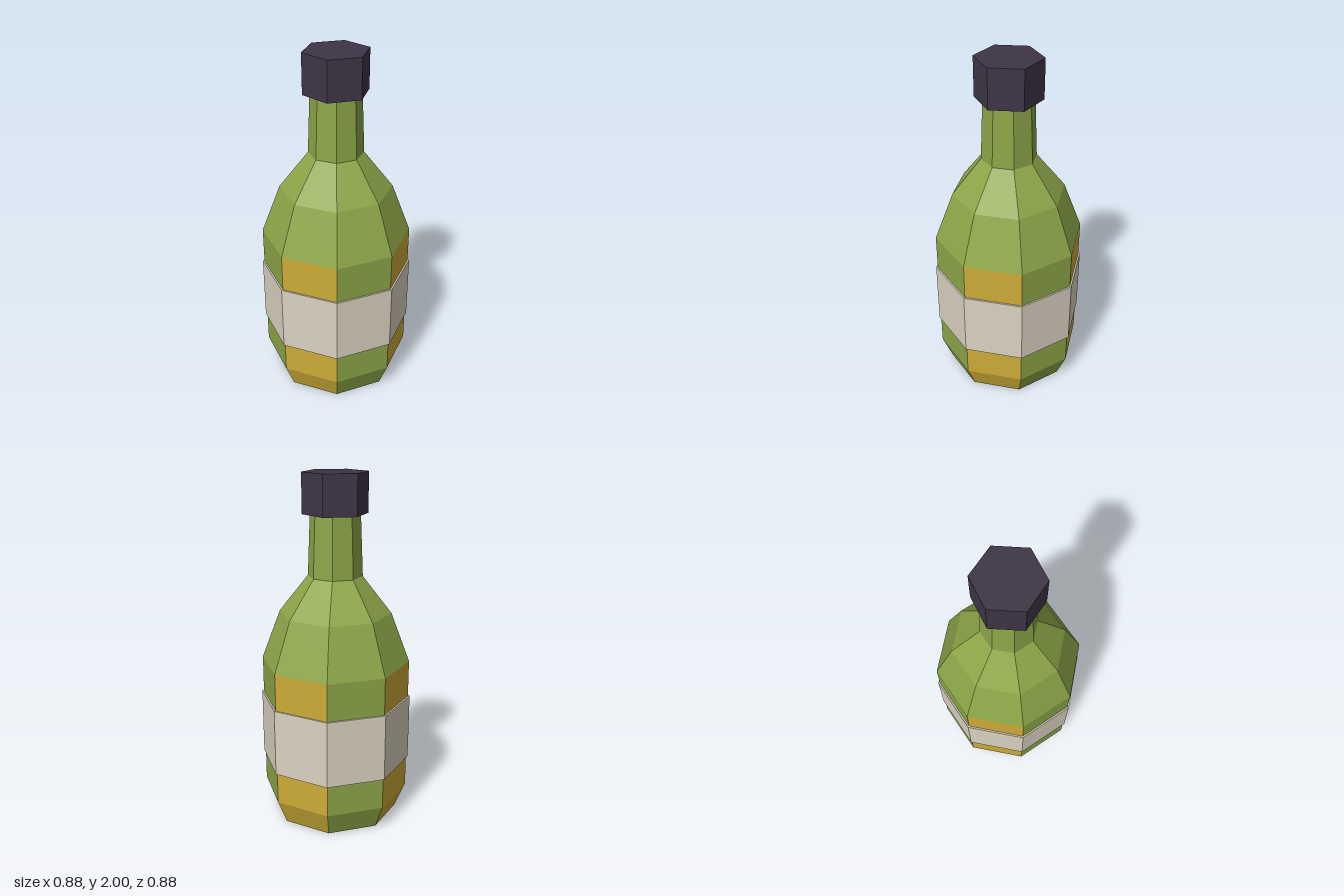
import * as THREE from 'three';

const SIDES = 8;
const STEP = (Math.PI * 2) / SIDES;

function material(name, color) {
  const m = new THREE.MeshStandardMaterial({ color, flatShading: true });
  m.name = name;
  return m;
}

const profile = (points) => points.map(([r, y]) => new THREE.Vector2(r, y));

export function createModel() {
  const model = new THREE.Group();
  model.name = 'bottle';

  const green = material('greenGlass', 0x8da648);
  const gold = material('goldPanel', 0xcdac38);
  const cream = material('creamLabel', 0xdbd3c1);
  const dark = material('darkCap', 0x3e3546);

  function add(name, geometry, mat, y = 0) {
    const mesh = new THREE.Mesh(geometry, mat);
    mesh.name = name;
    mesh.position.y = y;
    model.add(mesh);
    return mesh;
  }

  // Lower body: alternating gold and green panels
  const lower = profile([[0.37, 0], [0.428, 0.145], [0.428, 0.935]]);
  for (let i = 0; i < SIDES; i++) {
    add(`bodyPanel${i + 1}`, new THREE.LatheGeometry(lower, 1, i * STEP, STEP), i % 2 ? green : gold);
  }

  // Base, facing down with its corners on the panel edges
  const base = add('base', new THREE.CircleGeometry(0.37, SIDES), green);
  base.rotation.x = Math.PI / 2;

  // Shoulder and neck
  const upper = profile([[0.428, 0.935], [0.32, 1.22], [0.155, 1.43], [0.14, 1.8]]);
  add('shoulderAndNeck', new THREE.LatheGeometry(upper, SIDES), green);

  // Label band, just proud of the body
  add('label', new THREE.CylinderGeometry(0.438, 0.438, 0.39, SIDES), cream, 0.525);

  // Six-sided cap with corners on the x axis
  const cap = add('cap', new THREE.CylinderGeometry(0.185, 0.185, 0.225, 6), dark, 1.8875);
  cap.rotation.y = Math.PI / 6;

  return model;
}
